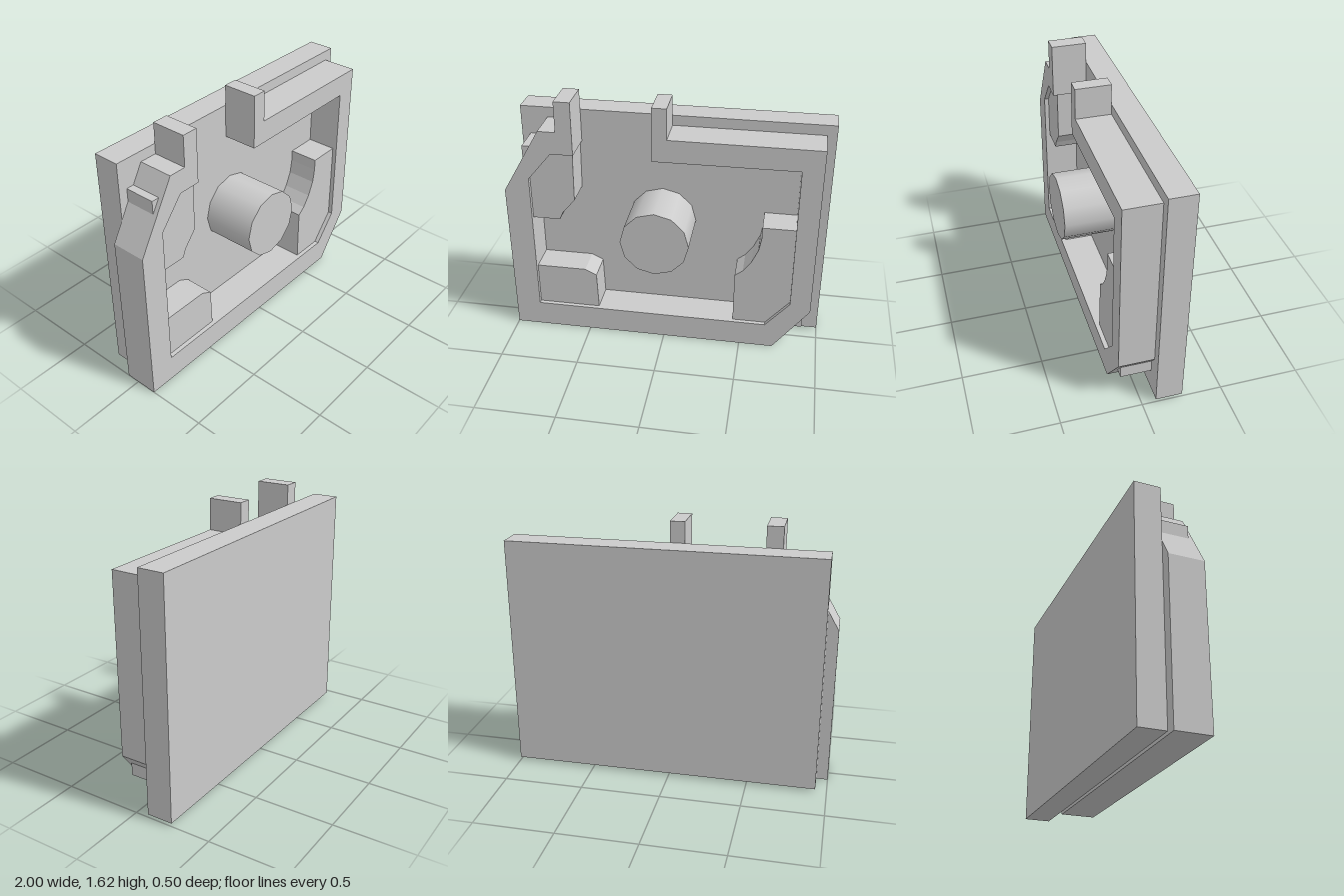
import * as THREE from 'three';

const BACK = -0.085; // plane where the frame and blocks meet the plate

export function createModel() {
  const group = new THREE.Group();
  const material = new THREE.MeshStandardMaterial({ color: 0xcccccc });

  const add = (name, geometry) => {
    const mesh = new THREE.Mesh(geometry, material);
    mesh.name = name;
    group.add(mesh);
    return mesh;
  };

  // Extrude an outline in the xy plane from z0 to z1
  const slab = (name, points, z0, z1) => {
    const shape = new THREE.Shape(points.map(([x, y]) => new THREE.Vector2(x, y)));
    const geometry = new THREE.ExtrudeGeometry(shape, { depth: z1 - z0, bevelEnabled: false });
    return add(name, geometry.translate(0, 0, z0));
  };

  // Flat back plate
  slab('backPlate', [[-0.93, 0.02], [1, 0.02], [1, 1.49], [-0.93, 1.49]], -0.25, BACK);

  // Frame with two chamfered corners, open at the top between two prongs
  slab('frame', [
    [-1, 0], [0.715, 0], [0.94, 0.3], [0.94, 1.425], [0.02, 1.425], [0.02, 1.62],
    [-0.07, 1.62], [-0.07, 1.28], [0.81, 1.284], [0.81, 0.345], [0.66, 0.167],
    [-0.84, 0.167], [-0.84, 1.1], [-0.69, 1.28], [-0.55, 1.28], [-0.55, 1.62],
    [-0.65, 1.62], [-0.65, 1.425], [-0.76, 1.425], [-1, 1.01],
  ], BACK, 0.135);

  // Corner blocks, slightly lower than the frame; two poke out past the chamfers
  slab('upperRightBlock', [
    [-0.875, 0.815], [-0.667, 0.815], [-0.645, 0.865], [-0.565, 0.96],
    [-0.56, 1.31], [-0.875, 1.31],
  ], BACK, 0.107);

  slab('lowerLeftBlock', [
    [0.45, 0.16], [0.895, 0.16], [0.895, 0.873], [0.605, 0.873], [0.605, 0.8],
    [0.59, 0.71], [0.55, 0.62], [0.5, 0.55], [0.45, 0.51],
  ], BACK, 0.107);

  slab('lowerRightBlock', [
    [-0.86, 0.16], [-0.44, 0.16], [-0.449, 0.413], [-0.522, 0.45], [-0.86, 0.45],
  ], BACK, 0.107);

  // Central round boss
  const depth = 0.25 - BACK;
  const boss = add('boss', new THREE.CylinderGeometry(0.213, 0.213, depth, 12));
  boss.rotation.x = Math.PI / 2;
  boss.position.set(-0.04, 0.775, BACK + depth / 2);

  return group;
}
